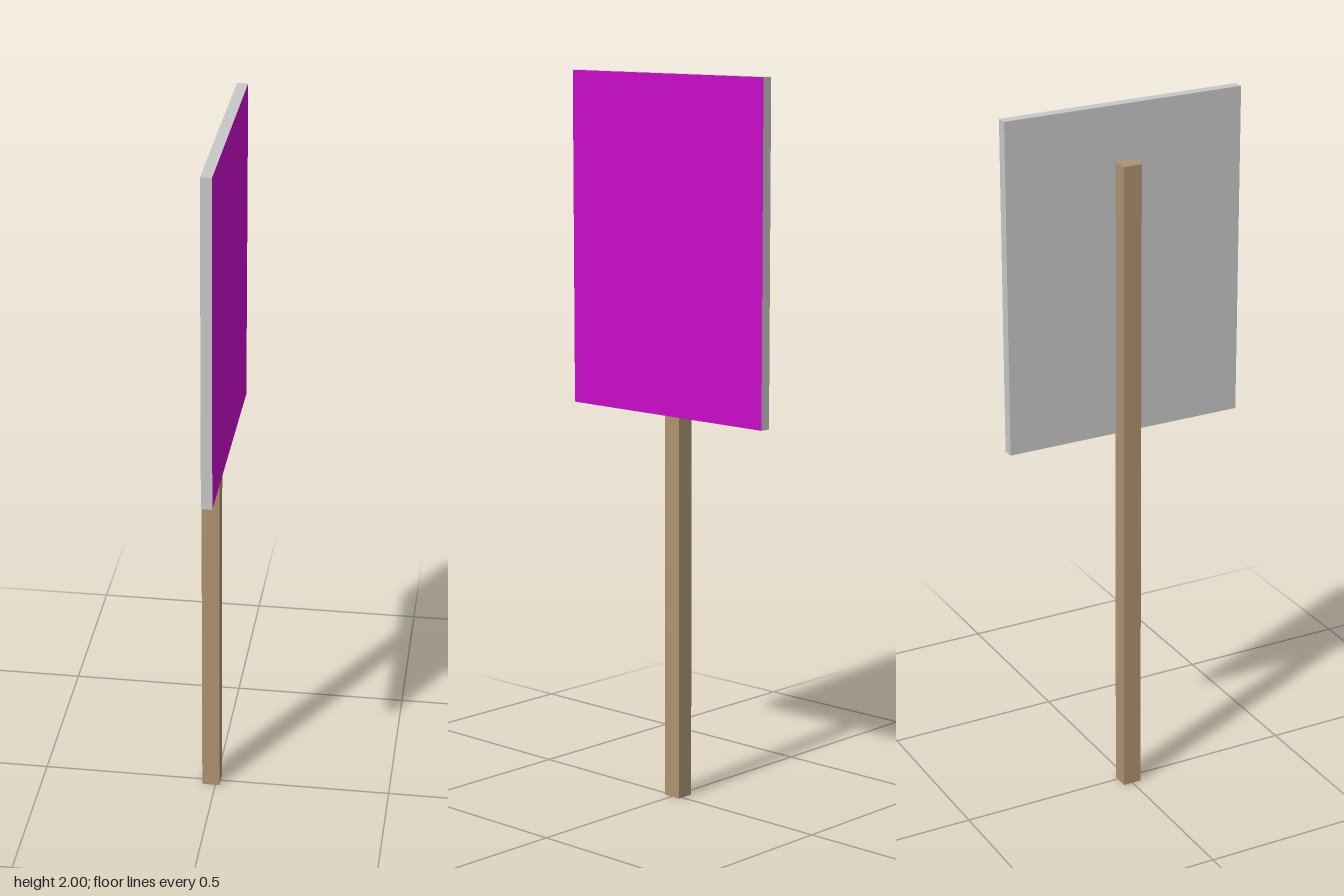
import * as THREE from 'three';

const material = (name, color) => {
  const m = new THREE.MeshStandardMaterial({ color });
  m.name = name;
  return m;
};

// Box given by its minimum and maximum corners
function slab(name, min, max, mat) {
  const size = max.map((v, i) => v - min[i]);
  const mesh = new THREE.Mesh(new THREE.BoxGeometry(...size), mat);
  mesh.position.set(...min.map((v, i) => (v + max[i]) / 2));
  mesh.name = name;
  return mesh;
}

export function createModel() {
  const wood = material('wood', 0xae9270);
  const grey = material('light grey', 0xc8c8c8);
  const magenta = material('magenta', 0xc80ac8);

  const group = new THREE.Group();
  group.name = 'signpost';

  // Square wooden post, let slightly into the back of the board
  group.add(slab('post', [-0.038, 0, -0.028], [0.012, 1.846, 0.025], wood));

  // Board: grey all round, magenta on its +x face (box face order: +x, -x, +y, -y, +z, -z)
  const faces = [magenta, grey, grey, grey, grey, grey];
  group.add(slab('signBoard', [0.007, 1.08, -0.346], [0.037, 2, 0.346], faces));

  return group;
}
